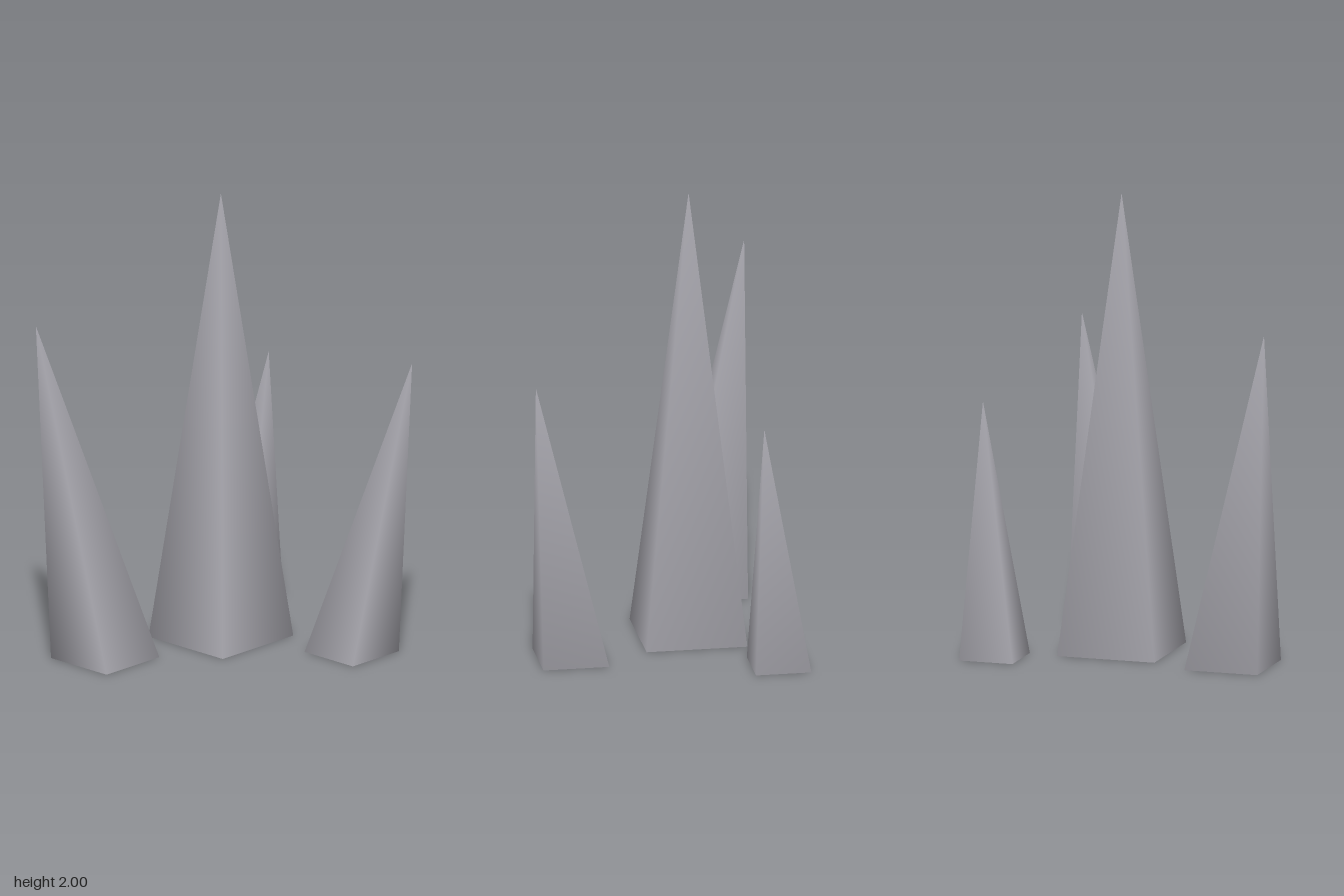
import * as THREE from 'three';

const SIDES = 4;

// Hollow spike, open underneath: a diamond base ring joined to a tip that may lean in x.
function makeSpike(name, x, z, radius, height, tipX, material) {
  const points = [];
  const faces = [];
  for (let i = 0; i < SIDES; i++) {
    const a = (i / SIDES) * Math.PI * 2;
    points.push(x + radius * Math.cos(a), 0, z + radius * Math.sin(a));
    faces.push(i, SIDES, (i + 1) % SIDES);
  }
  points.push(tipX, height, z);

  const geometry = new THREE.BufferGeometry();
  geometry.setAttribute('position', new THREE.Float32BufferAttribute(points, 3));
  geometry.setIndex(faces);
  geometry.computeVertexNormals(); // shared corners give smooth shading

  const mesh = new THREE.Mesh(geometry, material);
  mesh.name = name;
  return mesh;
}

export function createModel() {
  const group = new THREE.Group();
  group.name = 'spikeCluster';
  const material = new THREE.MeshStandardMaterial({ color: 0xa09fa6, side: THREE.DoubleSide });

  // name, base x, base z, radius, height, tip x
  const spikes = [
    ['centreSpike', -0.007, 0.107, 0.31, 2.0, -0.007],
    ['rightSpike', -0.51, 0.385, 0.232, 1.5, -0.807],
    ['leftSpike', 0.548, 0.33, 0.202, 1.3, 0.807],
    ['backSpike', 0.103, -0.448, 0.17, 1.1, 0.212],
  ];
  for (const spike of spikes) group.add(makeSpike(...spike, material));
  return group;
}
